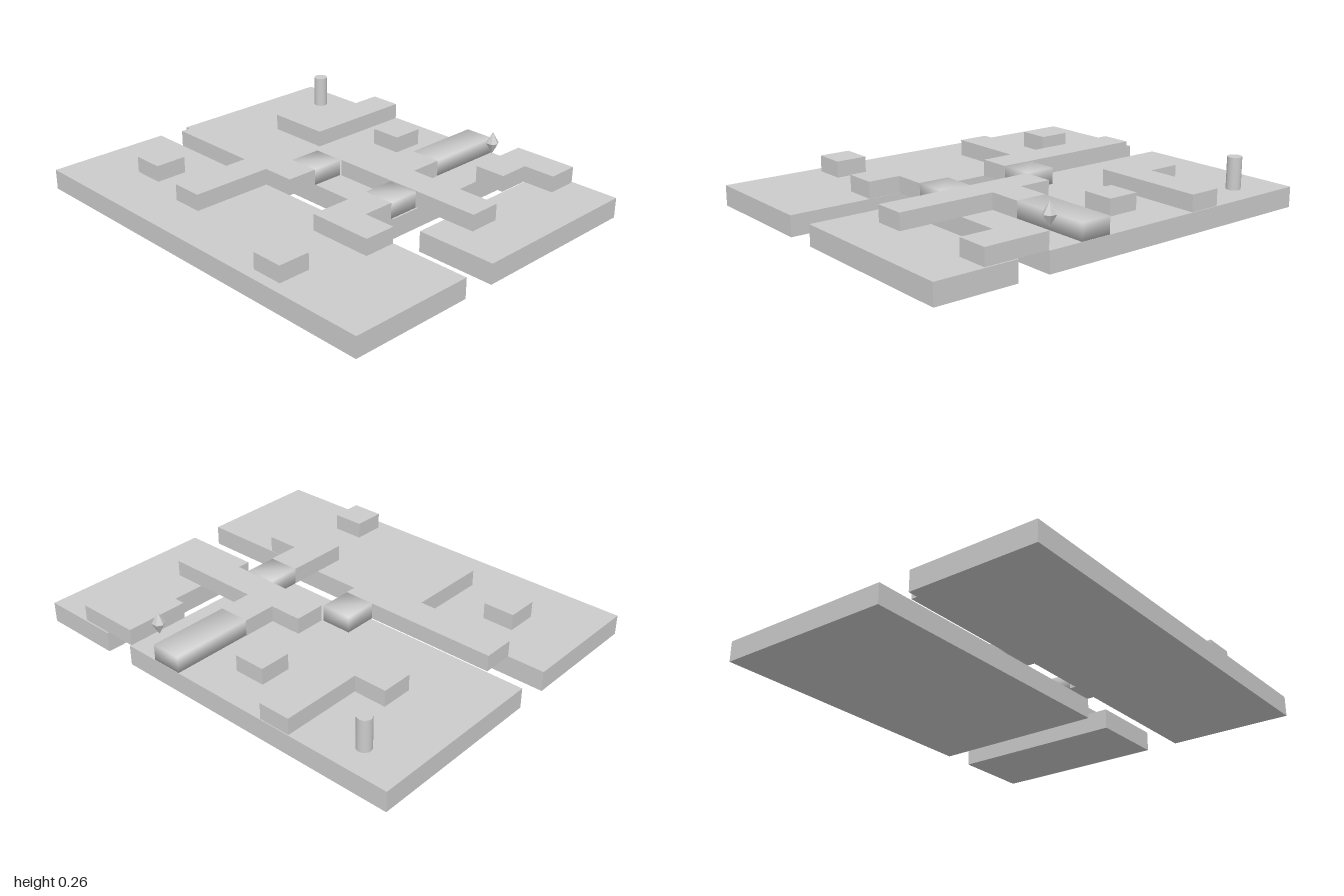
import * as THREE from 'three';
import { mergeVertices } from 'three/addons/utils/BufferGeometryUtils.js';

const SLAB_TOP = 0.097;
const BLOCK_TOP = 0.175;

export function createModel() {
  const model = new THREE.Group();
  const flat = new THREE.MeshStandardMaterial({ color: 0xcccccc, flatShading: true });
  const smooth = new THREE.MeshStandardMaterial({ color: 0xcccccc });

  const add = (name, geometry, material = flat) => {
    const mesh = new THREE.Mesh(geometry, material);
    mesh.name = name;
    model.add(mesh);
    return mesh;
  };

  // Box given by its limits
  const boxGeometry = (x0, x1, z0, z1, y0, y1) =>
    new THREE.BoxGeometry(x1 - x0, y1 - y0, z1 - z0)
      .translate((x0 + x1) / 2, (y0 + y1) / 2, (z0 + z1) / 2);

  // Wall with a plan outline of [x, z] corners
  const wall = (name, outline) => {
    const shape = new THREE.Shape(outline.map(([x, z]) => new THREE.Vector2(x, -z)));
    const geometry = new THREE.ExtrudeGeometry(shape, { depth: BLOCK_TOP - SLAB_TOP, bevelEnabled: false });
    add(name, geometry.rotateX(-Math.PI / 2).translate(0, SLAB_TOP, 0));
  };

  // Ground slabs, separated by channels
  add('backLeftSlab', boxGeometry(0.61, 1, -0.822, 0.052, 0, SLAB_TOP));
  add('backMainSlab', boxGeometry(-1, 0.455, -0.822, 0.052, 0, SLAB_TOP));
  add('frontSlab', boxGeometry(-1, 1, 0.212, 0.822, 0, SLAB_TOP));

  // L-shaped walls
  wall('backRightCornerWall', [[-0.5, -0.818], [-0.345, -0.818], [-0.345, -0.27],
    [-0.66, -0.27], [-0.66, -0.425], [-0.5, -0.425]]);
  wall('backLeftCornerWall', [[0.453, -0.815], [0.765, -0.815], [0.765, -0.663],
    [0.607, -0.663], [0.607, -0.505], [0.453, -0.505]]);
  wall('frontCornerWall', [[0.294, 0.058], [0.448, 0.058], [0.448, 0.214],
    [0.607, 0.214], [0.607, 0.37], [0.294, 0.37]]);

  // T-shaped walls
  wall('backTeeWall', [[0.135, -0.422], [0.29, -0.422], [0.29, -0.26], [0.765, -0.26],
    [0.765, -0.107], [-0.025, -0.107], [-0.025, -0.26], [0.135, -0.26]]);
  wall('frontTeeWall', [[-0.82, 0.058], [-0.03, 0.058], [-0.03, 0.212], [-0.19, 0.212],
    [-0.19, 0.608], [-0.343, 0.608], [-0.343, 0.212], [-0.82, 0.212]]);

  // Smooth-shaded connecting walls
  for (const [x0, x1, z0, z1] of [
    [0.138, 0.288, -0.82, -0.422],
    [-0.183, -0.032, -0.103, 0.058],
    [0.294, 0.446, -0.1, 0.058],
  ]) {
    let geometry = boxGeometry(x0, x1, z0, z1, SLAB_TOP, BLOCK_TOP);
    geometry.deleteAttribute('normal');
    geometry.deleteAttribute('uv');
    geometry = mergeVertices(geometry);
    geometry.computeVertexNormals();
    add('connectingWall', geometry, smooth);
  }

  // Loose square blocks
  for (const [x, z] of [[-0.108, -0.567], [-0.634, 0.475], [0.452, 0.692]]) {
    add('squareBlock', boxGeometry(x - 0.077, x + 0.077, z - 0.077, z + 0.077, SLAB_TOP, BLOCK_TOP));
  }

  // Round marker post
  add('post', new THREE.CylinderGeometry(0.034, 0.034, 0.152, 24), smooth)
    .geometry.translate(-0.77, SLAB_TOP + 0.076, -0.68);
  model.children.at(-1).geometry.computeBoundingSphere();

  // Floating faceted gem
  const profile = [[0, -0.055], [0.031, 0], [0, 0.055]].map(([r, y]) => new THREE.Vector2(r, y));
  const gem = add('gem', new THREE.LatheGeometry(profile, 6, Math.PI / 6));
  gem.position.set(0.37, 0.203, -0.72);

  return model;
}
